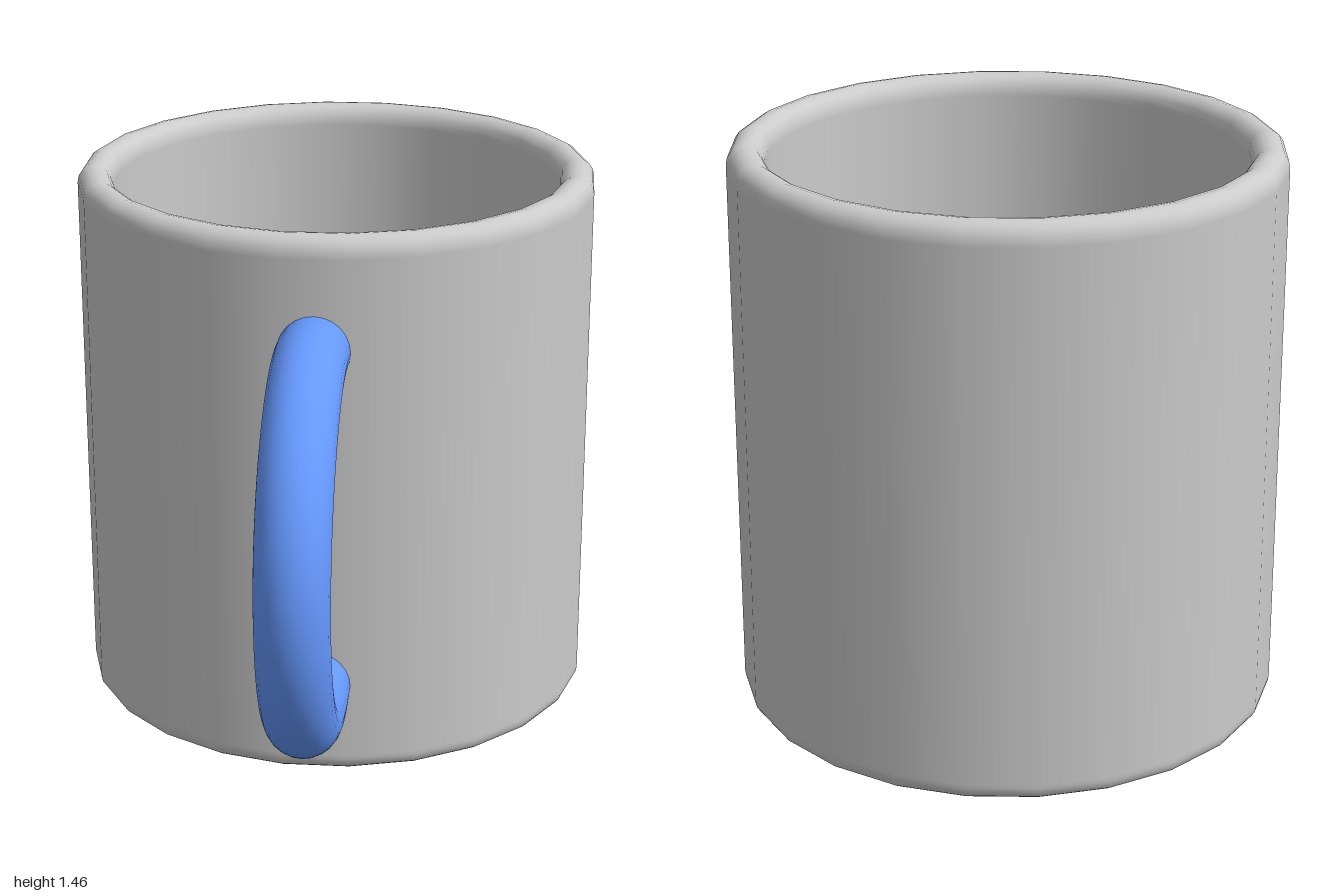
import * as THREE from 'three';

const SIDES = 24, RADIUS = 0.69, INNER = 0.6, HEIGHT = 1.46, FLOOR = 0.09;

// Points along a circular arc in the lathe profile plane
function arc(cx, cy, r, from, to, steps) {
  const points = [];
  for (let i = 0; i <= steps; i++) {
    const a = THREE.MathUtils.degToRad(from + ((to - from) * i) / steps);
    points.push(new THREE.Vector2(cx + r * Math.cos(a), cy + r * Math.sin(a)));
  }
  return points;
}

export function createModel() {
  const group = new THREE.Group();
  group.name = 'mug';
  const grey = new THREE.MeshStandardMaterial({ color: 0xcccccc });
  const blue = new THREE.MeshStandardMaterial({ color: 0x6699ff });

  // Cup: underside, rounded foot, wall, fully rounded rim, inner wall and floor
  const foot = 0.035, rim = (RADIUS - INNER) / 2, fillet = 0.02;
  const profile = [
    new THREE.Vector2(0, 0),
    new THREE.Vector2(RADIUS - foot - 0.01, 0),
    ...arc(RADIUS - foot, foot, foot, -90, 0, 4),
    new THREE.Vector2(RADIUS, foot + 0.01),
    new THREE.Vector2(RADIUS, HEIGHT - rim - 0.01),
    ...arc(RADIUS - rim, HEIGHT - rim, rim, 0, 180, 8),
    new THREE.Vector2(INNER, HEIGHT - rim - 0.01),
    new THREE.Vector2(INNER, FLOOR + fillet + 0.01),
    ...arc(INNER - fillet, FLOOR + fillet, fillet, 0, -90, 3),
    new THREE.Vector2(INNER - fillet - 0.01, FLOOR),
    new THREE.Vector2(0, FLOOR),
  ];
  const cup = new THREE.Mesh(new THREE.LatheGeometry(profile, SIDES), grey);
  cup.name = 'cup';
  cup.position.z = -0.31;
  group.add(cup);

  // Handle: a little over half a ring, its ends buried in the cup wall
  const sweep = THREE.MathUtils.degToRad(209);
  const ring = new THREE.TorusGeometry(0.465, 0.092, 24, 48, sweep);
  ring.rotateZ(-sweep / 2);
  ring.rotateY(-Math.PI / 2 - 0.135);
  const handle = new THREE.Mesh(ring, blue);
  handle.name = 'handle';
  handle.position.set(-0.1, 0.708, 0.445);
  group.add(handle);

  return group;
}
